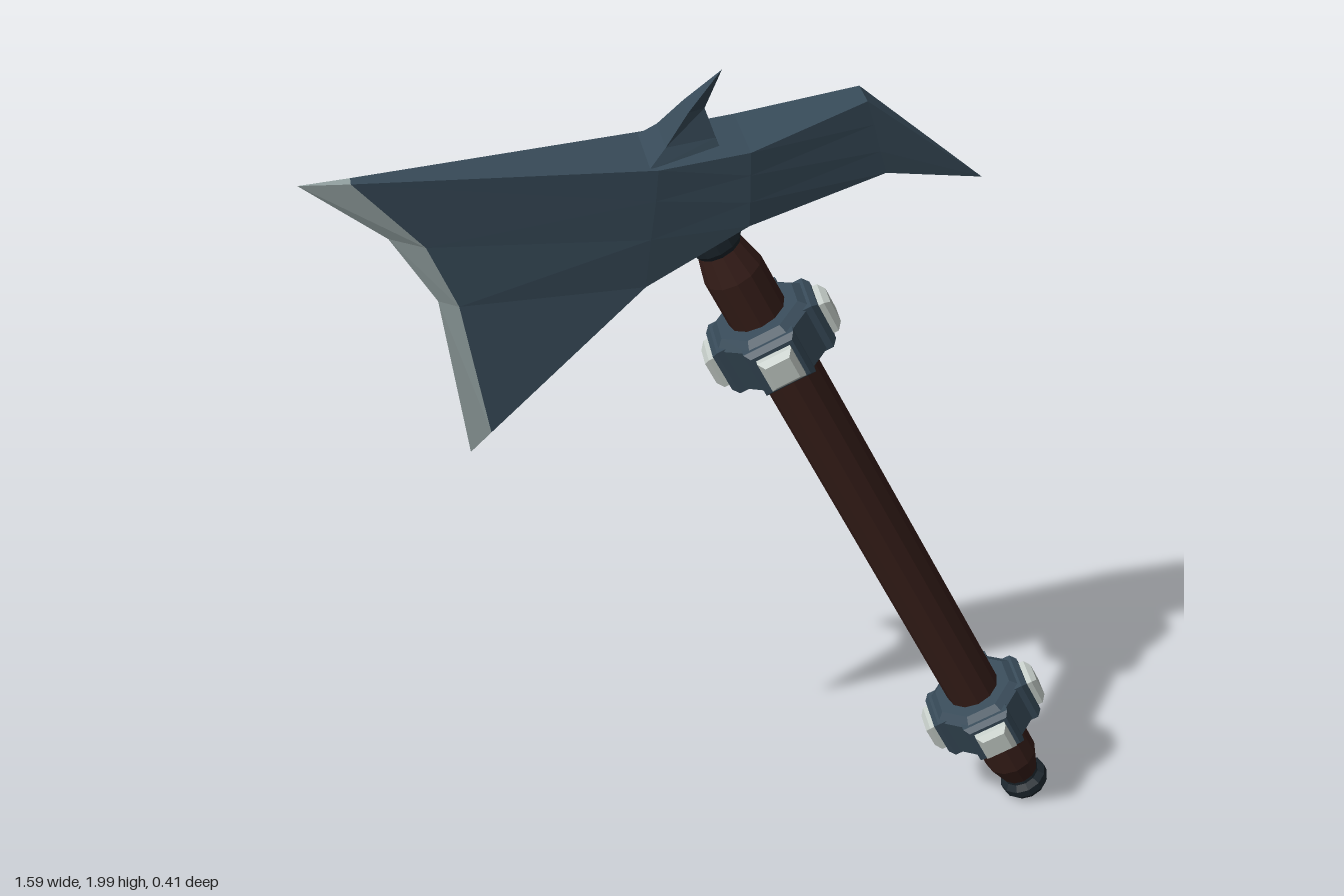
import * as THREE from 'three';

const mat = (color) => new THREE.MeshStandardMaterial({ color, flatShading: true });
const iron = mat(0x374a58), wood = mat(0x381f1a), steel = mat(0xc6cec9), edgeSteel = mat(0x95a3a3), dark = mat(0x1c262d);

function add(parent, name, geometry, material) {
  const mesh = new THREE.Mesh(geometry, material);
  mesh.name = name;
  parent.add(mesh);
  return mesh;
}

// Faceted skin through closed loops of [x, y, z].
// Each loop runs counter-clockwise as seen from the last station.
function loft(loops) {
  const pos = [];
  const n = loops[0].length;
  for (let i = 0; i < loops.length - 1; i++) {
    for (let j = 0; j < n; j++) {
      const k = (j + 1) % n;
      const [a, b, c, d] = [loops[i][j], loops[i][k], loops[i + 1][k], loops[i + 1][j]];
      pos.push(...a, ...b, ...c, ...a, ...c, ...d);
    }
  }
  const g = new THREE.BufferGeometry();
  g.setAttribute('position', new THREE.Float32BufferAttribute(pos, 3));
  g.computeVertexNormals();
  return g;
}

// Lathe from [height, radius] pairs, listed bottom to top
const turned = (profile, sides, start = 0) =>
  new THREE.LatheGeometry(profile.map(([y, r]) => new THREE.Vector2(r, y)), sides, start);

// Mirrors rows of [x, y, halfThickness] to a closed section, front then back
const section = (rows) => [...rows, ...rows.map(([x, y, t]) => [x, y, -t]).reverse()];

// Octagonal collar with four plates, each carrying a bevelled stud
function makeCollar(name) {
  const collar = new THREE.Group();
  collar.name = name;
  const profile = [[-0.07, 0], [-0.07, 0.094], [-0.052, 0.115], [0.052, 0.115], [0.07, 0.094], [0.07, 0]];
  add(collar, 'collarRing', turned(profile, 8, Math.PI / 8), iron);
  const plateShape = [[0.08, 0.08], [0.108, 0.08], [0.12, 0.066], [0.12, 0]];
  const studShape = [[0.1, 0.054], [0.132, 0.054], [0.144, 0.038], [0.144, 0]];
  for (let i = 0; i < 4; i++) {
    const mount = new THREE.Group();
    mount.name = 'studMount';
    mount.rotation.y = i * Math.PI / 2;
    add(mount, 'plate', turned(plateShape, 4, Math.PI / 4), iron).rotation.x = Math.PI / 2;
    add(mount, 'stud', turned(studShape, 4, Math.PI / 4), steel).rotation.x = Math.PI / 2;
    collar.add(mount);
  }
  return collar;
}

function makeHandle() {
  const handle = new THREE.Group();
  handle.name = 'handle';
  add(handle, 'shaft', turned([[-0.245, 0], [-0.245, 0.046], [-0.185, 0.064], [1.39, 0.064],
    [1.455, 0.048], [1.455, 0]], 12), wood);
  add(handle, 'pommel', turned([[-0.3, 0], [-0.3, 0.05], [-0.287, 0.058], [-0.268, 0.058], [-0.255, 0.045],
    [-0.235, 0.045], [-0.235, 0]], 12), dark);
  add(handle, 'neck', turned([[1.445, 0], [1.445, 0.044], [1.465, 0.055], [1.49, 0.055], [1.51, 0.045],
    [1.6, 0.045], [1.6, 0]], 12), dark);
  const upper = makeCollar('upperCollar');
  upper.position.y = 1.206;
  handle.add(makeCollar('lowerCollar'), upper);
  return handle;
}

function makeHead() {
  const head = new THREE.Group();
  head.name = 'axeHead';
  // Sections from the cutting edge to the tip of the rear pick
  const edge = section([[-0.81, 1.822, 0], [-0.65, 1.69, 0], [-0.565, 1.54, 0], [-0.525, 1.17, 0]]);
  const bevel = section([[-0.71, 1.822, 0.013], [-0.58, 1.67, 0.013], [-0.525, 1.53, 0.013], [-0.48, 1.22, 0.01]]);
  const body = [
    section([[-0.13, 1.83, 0.085], [-0.135, 1.76, 0.077], [-0.145, 1.67, 0.066], [-0.155, 1.555, 0.05]]),
    section([[0.05, 1.85, 0.085], [0.05, 1.8, 0.083], [0.05, 1.74, 0.08], [0.05, 1.685, 0.075]]),
    section([[0.29, 1.912, 0.035], [0.305, 1.86, 0.034], [0.32, 1.8, 0.033], [0.335, 1.75, 0.03]]),
    section(Array(4).fill([0.543, 1.705, 0])),
  ];
  add(head, 'cuttingEdge', loft([edge, bevel]), edgeSteel);
  add(head, 'blade', loft([bevel, ...body]), iron);

  // Hooked thorn on top: [y, left, left half depth, right, right half depth, z shift]
  const thorn = [[1.825, -0.15, 0.078, 0.005, 0.04, 0], [1.86, -0.11, 0.052, -0.008, 0.028, 0],
    [1.92, -0.062, 0.028, -0.028, 0.014, 0.005], [2.0, 0.005, 0, 0.005, 0, 0.025]];
  add(head, 'topSpike', loft(thorn.map(([y, l, dl, r, dr, z]) =>
    [[r, y, z + dr], [r, y, z - dr], [l, y, z - dl], [l, y, z + dl]])), iron);
  return head;
}

export function createModel() {
  const model = new THREE.Group();
  model.name = 'battleAxe';
  const handle = makeHandle();
  handle.rotation.set(0, -0.2, 0.45, 'YXZ');
  handle.position.set(0.62, 0.3, 0.063);
  const head = makeHead();
  head.rotation.y = -0.165;
  head.position.z = -0.07;
  model.add(handle, head);
  return model;
}
